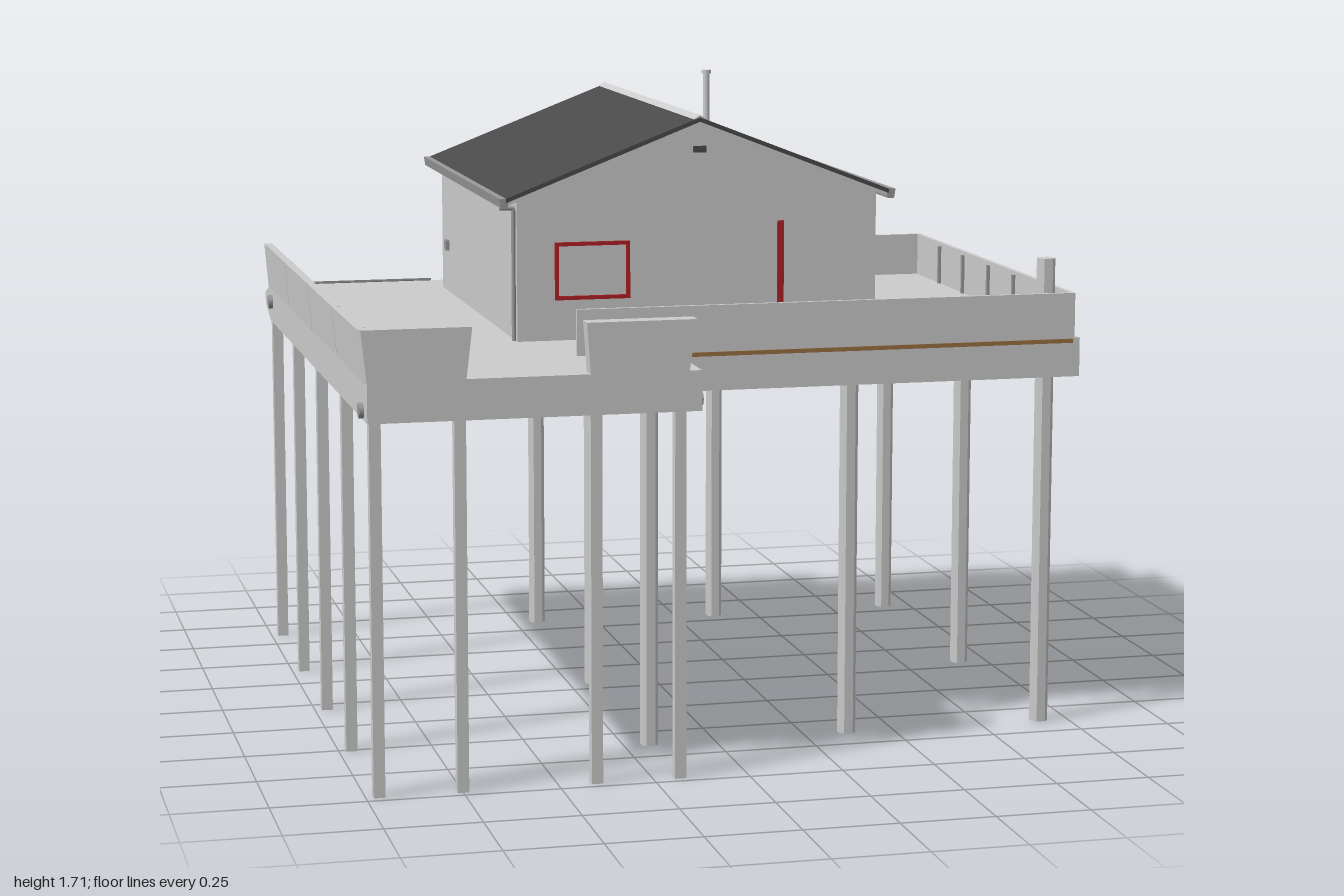
import * as THREE from 'three';

const mat = (color, side = THREE.FrontSide) => new THREE.MeshStandardMaterial({ color, side });
const grey = mat(0xcccccc);
const dark = mat(0x4a4a4a);
const red = mat(0xb02024);
const brown = mat(0x9a7040);
const midGrey = mat(0x999999);

export function createModel() {
  const model = new THREE.Group();

  const add = (name, geometry, material = grey, parent = model) => {
    const mesh = new THREE.Mesh(geometry, material);
    mesh.name = name;
    parent.add(mesh);
    return mesh;
  };
  const group = (name) => {
    const g = new THREE.Group();
    g.name = name;
    model.add(g);
    return g;
  };
  // Box given by its limits on each axis
  const box = (name, x0, x1, y0, y1, z0, z1, material, parent) => {
    const mesh = add(name, new THREE.BoxGeometry(x1 - x0, y1 - y0, z1 - z0), material, parent);
    mesh.position.set((x0 + x1) / 2, (y0 + y1) / 2, (z0 + z1) / 2);
    return mesh;
  };
  const shape = (pts) => new THREE.Shape(pts.map(([x, y]) => new THREE.Vector2(x, y)));
  // Profile in x and y, drawn out from z0 to z1
  const prismZ = (pts, z0, z1) =>
    new THREE.ExtrudeGeometry(shape(pts), { depth: z1 - z0, bevelEnabled: false }).translate(0, 0, z0);
  // Profile in z and y, drawn out from x0 to x1
  const prismX = (pts, x0, x1) =>
    new THREE.ExtrudeGeometry(shape(pts.map(([z, y]) => [-z, y])), { depth: x1 - x0, bevelEnabled: false })
      .rotateY(Math.PI / 2).translate(x0, 0, 0);
  const rod = (name, r, h, x, y, z, axis, material, parent) => {
    const g = new THREE.CylinderGeometry(r, r, h, 12);
    if (axis === 'x') g.rotateZ(Math.PI / 2);
    if (axis === 'z') g.rotateX(Math.PI / 2);
    add(name, g, material, parent).position.set(x, y, z);
  };

  // L-shaped deck
  const deck = new THREE.ExtrudeGeometry(
    shape([[-0.985, -0.98], [-0.125, -0.98], [-0.125, -0.68], [1, -0.68], [1, 0.87], [-0.985, 0.87]]),
    { depth: 0.105, bevelEnabled: false }
  ).rotateX(-Math.PI / 2).translate(0, 0.963, 0);
  add('deck', deck);
  box('floorEdge', -0.12, 0.98, 1.055, 1.066, 0.67, 0.684, brown);

  // Sloping ledge along the back
  add('backLedge', prismX([[-0.86, 0.965], [-0.86, 1.068], [-0.88, 1.068], [-0.985, 1.035], [-0.985, 1.005], [-0.88, 0.965]], -0.985, 0));
  add('ledgePlate', prismX([[-0.87, 1.07], [-0.87, 1.076], [-0.96, 1.049], [-0.96, 1.04]], -0.91, -0.5), midGrey);

  // Slim columns on the front and left-hand edges
  const columns = group('columns');
  const slim = [-0.75, -0.4, -0.18].map((x) => [x, 0.962]);
  [-0.87, -0.41, 0.05, 0.5, 0.962].forEach((z) => slim.push([-0.966, z]));
  slim.forEach(([x, z]) => box('slimColumn', x - 0.015, x + 0.015, 0, 0.97, z - 0.015, z + 0.015, grey, columns));

  // Thick columns with chamfered corners, two of them rising above the deck
  const w = 0.022, c = 0.012;
  const chamfered = shape([[w, -c], [w, c], [c, w], [-c, w], [-w, c], [-w, -c], [-c, -w], [c, -w]]);
  [
    [-0.18, 0.625, 0.97], [0.37, 0.625, 0.97], [0.92, 0.625, 1.28], [-0.18, -0.07, 0.97],
    [0.92, -0.07, 0.97], [-0.18, -0.868, 1.16], [0.37, -0.825, 0.97], [0.92, -0.825, 0.97]
  ].forEach(([x, z, h]) => {
    const g = new THREE.ExtrudeGeometry(chamfered, { depth: h, bevelEnabled: false }).rotateX(-Math.PI / 2);
    add('thickColumn', g, grey, columns).position.set(x, 0, z);
  });

  // Parapets: thin panels with small brackets
  const parapets = group('parapets');
  box('frontParapet', -0.385, 0.985, 1.06, 1.19, 0.668, 0.68, grey, parapets);
  box('sideParapet', 0.973, 0.985, 1.06, 1.19, -0.685, 0.68, grey, parapets);
  box('backParapet', 0.75, 0.985, 1.06, 1.19, -0.69, -0.678, grey, parapets);
  [-0.2, 0, 0.23, 0.52, 0.75].forEach((x) => box('bracket', x - 0.006, x + 0.006, 1.06, 1.18, 0.66, 0.669, midGrey, parapets));
  [-0.45, -0.23, 0, 0.22, 0.45].forEach((z) => box('bracket', 0.965, 0.974, 1.06, 1.18, z - 0.006, z + 0.006, midGrey, parapets));
  // Leaning panels in a row
  for (let i = 0; i < 4; i++) {
    const z0 = -0.91 + i * 0.462;
    add('leaningParapet', prismZ([[-0.985, 1.06], [-0.96, 1.06], [-0.973, 1.19], [-0.996, 1.19]], z0, z0 + 0.456), grey, parapets);
  }
  // Flared front panels either side of the opening
  add('frontPanel', prismZ([[-0.985, 1.06], [-0.735, 1.06], [-0.718, 1.2], [-1, 1.2]], 0.935, 0.983), grey, parapets);
  add('frontPanel', prismZ([[-0.415, 1.06], [-0.16, 1.06], [-0.138, 1.2], [-0.425, 1.2]], 0.935, 0.983), grey, parapets);
  const plank = box('plank', -0.965, -0.945, 1.15, 1.17, 0.7, 0.85, brown, parapets);
  plank.rotation.x = -0.05;

  // Drain outlets in the deck edges
  rod('outlet', 0.02, 0.02, -0.122, 0.987, 0.925, 'x', midGrey);
  rod('outlet', 0.02, 0.02, 0.875, 1.025, -0.873, 'z', midGrey);
  rod('outlet', 0.02, 0.02, -0.987, 0.987, 0.91, 'x', midGrey);
  rod('outlet', 0.02, 0.02, -0.987, 1.025, -0.83, 'x', midGrey);

  // House walls with gables, and the pitched roof
  const house = group('house');
  const mid = 0.01, top = 1.66, eave = 1.455, half = 0.53;
  add('walls', prismZ([[-0.488, 1.06], [0.508, 1.06], [0.508, 1.45], [mid, 1.642], [-0.488, 1.45]], -0.728, 0.402), grey, house);
  const roof = (t, drop) => [
    [mid - half, eave - drop - t], [mid, top - drop - t], [mid + half, eave - drop - t],
    [mid + half, eave - drop], [mid, top - drop], [mid - half, eave - drop]
  ];
  add('roof', prismZ(roof(0.012, 0), -0.75, 0.42), dark, house);
  add('roofTrim', prismZ(roof(0.01, 0.012), -0.745, 0.415), grey, house);
  add('ridgeCap', prismZ([[mid - 0.018, 1.655], [mid + 0.018, 1.655], [mid, 1.666]], -0.75, 0.42), grey, house);

  // Gutters and downpipes
  [-1, 1].forEach((s) => {
    const x = mid + s * 0.535;
    add('gutter', prismZ([[x - 0.009, 1.43], [x + 0.009, 1.43], [x + 0.013, 1.455], [x - 0.013, 1.455]], -0.75, 0.42), midGrey, house);
    const z = s > 0 ? 0 : 0.38;
    rod('downpipe', 0.006, 0.36, mid + s * 0.503, 1.245, z, 'y', midGrey, house);
    rod('pipeElbow', 0.006, 0.04, mid + s * 0.52, 1.425, z, 'x', midGrey, house);
  });

  // Chimney pipe with cap
  rod('chimney', 0.01, 0.15, 0.28, 1.625, -0.575, 'y', grey, house);
  rod('chimneyCap', 0.015, 0.01, 0.28, 1.705, -0.575, 'y', grey, house);

  // Window frames, made flat in x and y and then placed on a wall
  const windowFrame = (name, width, height, mullions) => {
    const g = new THREE.Group();
    g.name = name;
    const a = width / 2, b = height / 2, t = 0.01, d = 0.006;
    [-b, b - t].forEach((y) => box('frameRail', -a, a, y, y + t, -d, d, red, g));
    [-a, a - t, ...mullions].forEach((x) => box('frameStile', x, x + t, -b, b, -d, d, red, g));
    house.add(g);
    return g;
  };
  windowFrame('frontWindow', 0.205, 0.155, []).position.set(-0.283, 1.255, 0.405);
  const sideWindow = windowFrame('sideWindow', 0.51, 0.155, [-0.115, 0.105]);
  sideWindow.rotation.y = Math.PI / 2;
  sideWindow.position.set(0.511, 1.255, -0.28);

  // Doors and wall fittings
  box('frontDoorStrip', 0.23, 0.247, 1.068, 1.375, 0.4, 0.41, red, house);
  box('backDoor', -0.3, -0.15, 1.075, 1.34, -0.737, -0.727, red, house);
  box('doorHandle', -0.18, -0.165, 1.2, 1.21, -0.745, -0.736, grey, house);
  box('backPanel', -0.13, -0.01, 1.2, 1.31, -0.736, -0.727, grey, house);
  box('frontVent', -0.005, 0.03, 1.565, 1.582, 0.4, 0.41, dark, house);
  box('backLamp', -0.14, -0.105, 1.425, 1.442, -0.742, -0.727, dark, house);
  box('coolingUnit', 0.508, 0.537, 1.19, 1.262, -0.53, -0.445, grey, house);
  box('sideBox', 0.508, 0.52, 1.19, 1.21, -0.705, -0.67, midGrey, house);
  box('sideBox', -0.498, -0.488, 1.19, 1.22, -0.645, -0.615, midGrey, house);

  return model;
}
